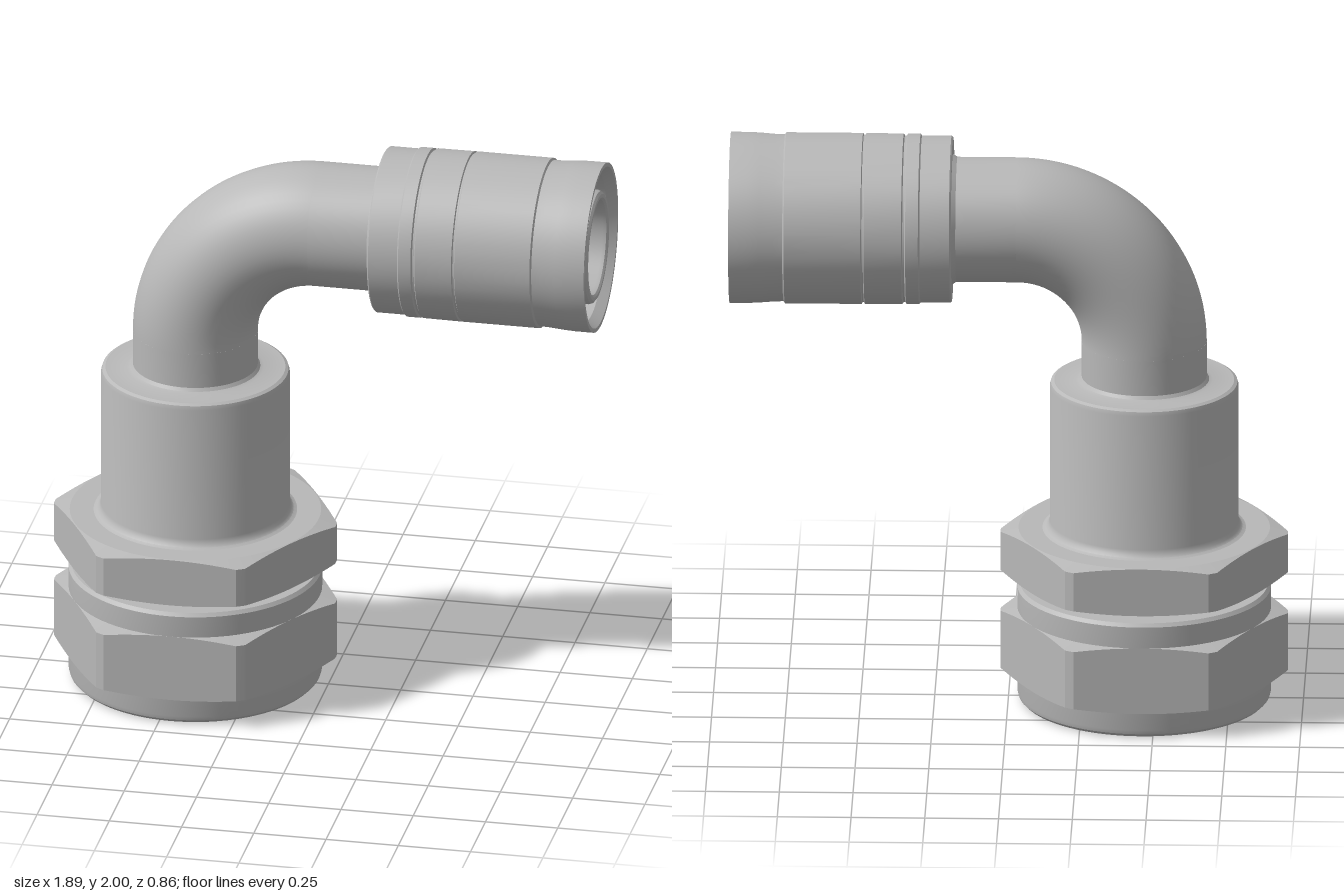
import * as THREE from 'three';
import { toCreasedNormals } from 'three/addons/utils/BufferGeometryUtils.js';

const AXIS_X = -0.46, AXIS_Y = 1.71;      // vertical body axis, horizontal outlet axis
const BEND = 0.43, PIPE = 0.212, BORE = 0.16;
const FLAT = 0.43, CORNER = 0.487;        // hexagon apothem and rounded corner radius

// Turned part: [radius, height] pairs, outer side upwards, then the bore downwards
function turned(points) {
  const profile = points.map(([r, y]) => new THREE.Vector2(r, y));
  return toCreasedNormals(new THREE.LatheGeometry(profile, 80), 0.45);
}

// Hexagonal ring with conically chamfered corners, built from one section per angle
function hexRing(y0, y1, inner) {
  const N = 180, pos = [], idx = [], M = 6;
  for (let i = 0; i < N; i++) {
    const deg = i * 360 / N, a = THREE.MathUtils.degToRad(deg);
    const off = THREE.MathUtils.degToRad((deg % 60) - 30);
    const r = Math.min(FLAT / Math.cos(off), CORNER);
    const rim = FLAT - 0.004, d = (r - rim) * 0.27;
    const section = [[inner, y0], [rim, y0], [r, y0 + d], [r, y1 - d], [rim, y1], [inner, y1]];
    for (const [q, y] of section) pos.push(q * Math.cos(a), y, -q * Math.sin(a));
    for (let j = 0; j < M - 1; j++) {
      const p = i * M + j, n = ((i + 1) % N) * M + j;
      idx.push(p, n, n + 1, p, n + 1, p + 1);
    }
  }
  const g = new THREE.BufferGeometry();
  g.setAttribute('position', new THREE.Float32BufferAttribute(pos, 3));
  g.setIndex(idx);
  return toCreasedNormals(g, 0.15);
}

export function createModel() {
  const model = new THREE.Group();
  model.name = 'elbowFitting';
  const metal = new THREE.MeshStandardMaterial({ color: 0xb8b8b8, side: THREE.DoubleSide });
  metal.name = 'greyMetal';
  const add = (name, geometry, x = 0, y = 0) => {
    const mesh = new THREE.Mesh(geometry, metal);
    mesh.name = name;
    mesh.position.set(x, y, 0);
    model.add(mesh);
    return mesh;
  };

  // Clamping nut: rounded base, upper collar and stepped opening
  add('clampingNutBody', turned([
    [0.295, 0.012], [0.305, 0], [0.4, 0], [0.415, 0.004], [0.426, 0.015], [0.43, 0.03],
    [0.43, 0.4], [0.42, 0.412], [0.3, 0.412], [0.3, 0.2], [0.27, 0.19], [0.27, 0.14],
    [0.31, 0.13], [0.31, 0.07], [0.295, 0.06], [0.295, 0.012],
  ]), AXIS_X);
  add('clampingNutHexagon', hexRing(0.088, 0.326, 0.4), AXIS_X);

  // Body: neck, sleeve and the straight start of the pipe
  add('bodySleeve', turned([
    [0.26, 0.3], [0.345, 0.3], [0.345, 0.6], [0.345, 0.61], [0.333, 0.615], [0.325, 0.624], [0.32, 0.64],
    [0.32, 1.12], [0.316, 1.134], [0.305, 1.14], [0.232, 1.14], [0.22, 1.144], [PIPE, 1.155],
    [PIPE, 1.28], [BORE, 1.28], [BORE, 1.0], [0.26, 0.95], [0.26, 0.3],
  ]), AXIS_X);
  add('bodyHexagon', hexRing(0.44, 0.61, 0.33), AXIS_X);

  // Quarter bend, outside and bore
  for (const [name, r] of [['pipeBend', PIPE], ['pipeBendBore', BORE]]) {
    const bend = new THREE.TorusGeometry(BEND, r, 48, 48, Math.PI / 2);
    bend.rotateZ(Math.PI / 2);
    add(name, bend, AXIS_X + BEND, AXIS_Y - BEND);
  }

  // Outlet: straight pipe, grooved coupling sleeve and inner spigot in one turned shape
  const outlet = turned([
    [PIPE, -0.03], [PIPE, 0.175], [0.222, 0.19], [0.278, 0.19], [0.283, 0.195],
    [0.283, 0.295], [0.289, 0.3], [0.289, 0.343], [0.282, 0.347], [0.282, 0.353], [0.289, 0.357],
    [0.29, 0.484], [0.284, 0.487], [0.284, 0.492], [0.29, 0.495],
    [0.29, 0.755], [0.283, 0.76], [0.284, 0.79], [0.288, 0.84], [0.29, 0.88],
    [0.29, 0.943], [0.276, 0.943], [0.255, 0.91], [0.255, 0.55], [0.195, 0.55],
    [0.195, 0.915], [0.191, 0.927], [0.182, 0.934], [0.17, 0.934], [0.163, 0.928], [BORE, 0.915],
    [BORE, -0.03],
  ]);
  outlet.rotateZ(-Math.PI / 2);
  add('outletCoupling', outlet, 0, AXIS_Y);

  return model;
}
